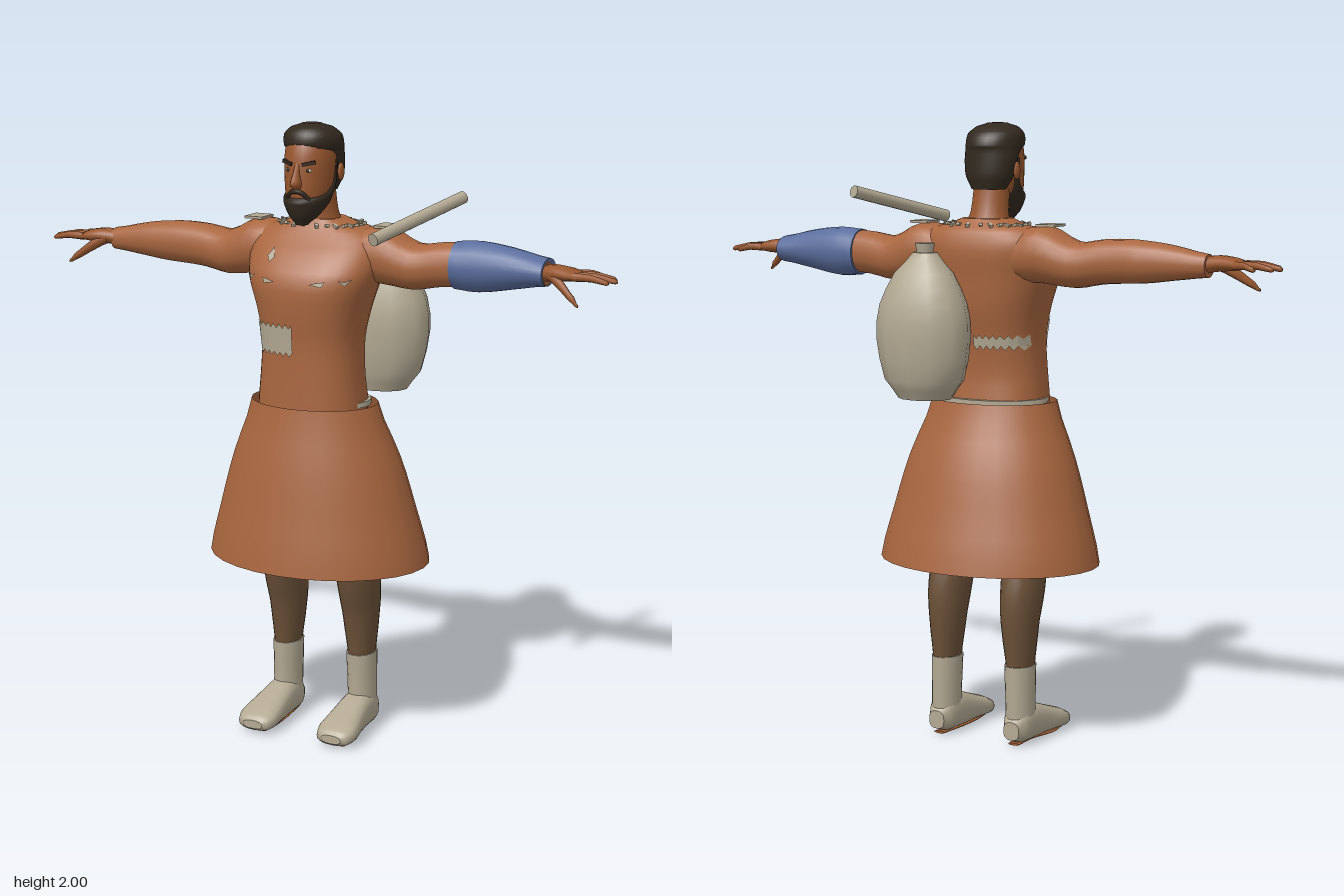
import * as THREE from 'three';

const mat = (name, color, double) => {
  const m = new THREE.MeshStandardMaterial({ color });
  m.name = name;
  if (double) m.side = THREE.DoubleSide;
  return m;
};

// Smooth lookup in a list of sections [position, centreU, centreV, radiusU, radiusV]
function sectionAt(rings, pos) {
  const up = rings[rings.length - 1][0] > rings[0][0] ? 1 : -1;
  let i = 0;
  while (i < rings.length - 2 && (pos - rings[i + 1][0]) * up > 0) i++;
  const p1 = rings[i], p2 = rings[i + 1];
  const p0 = rings[i - 1] || p1, p3 = rings[i + 2] || p2;
  const t = (pos - p1[0]) / (p2[0] - p1[0]);
  return p1.map((b, k) => {
    if (k === 0) return pos;
    const a = p0[k], c = p2[k], d = p3[k];
    return b + 0.5 * t * (c - a + t * (2 * a - 5 * b + 4 * c - d + t * (3 * (b - c) + d - a)));
  });
}

// Point on a rounded section; u,v are x,z along y, z,y along x and y,x along z
function ringPoint(s, angle, axis, n) {
  const c = Math.cos(angle), q = Math.sin(angle);
  const u = s[1] + s[3] * Math.sign(c) * Math.abs(c) ** (2 / n);
  const v = s[2] + s[4] * Math.sign(q) * Math.abs(q) ** (2 / n);
  if (axis === 'y') return [u, s[0], v];
  return axis === 'x' ? [s[0], v, u] : [v, u, s[0]];
}

// Skin a closed tube over sections running along an axis
function loft(rings, axis = 'y', { seg = 20, sub = 3, n = 2, open = false } = {}) {
  const rows = [];
  for (let i = 0; i < rings.length - 1; i++)
    for (let k = 0; k < sub; k++)
      rows.push(sectionAt(rings, rings[i][0] + (rings[i + 1][0] - rings[i][0]) * k / sub));
  rows.push(rings[rings.length - 1]);
  const flip = rows[rows.length - 1][0] < rows[0][0];
  const pos = [], idx = [];
  const tri = (a, b, c) => (flip ? idx.push(a, c, b) : idx.push(a, b, c));
  const addRing = s => {
    for (let j = 0; j < seg; j++) pos.push(...ringPoint(s, j / seg * Math.PI * 2, axis, n));
  };
  rows.forEach(addRing);
  for (let i = 0; i < rows.length - 1; i++)
    for (let j = 0; j < seg; j++) {
      const a = i * seg + j, b = i * seg + (j + 1) % seg;
      tri(a, a + seg, b);
      tri(b, a + seg, b + seg);
    }
  if (!open) [rows[0], rows[rows.length - 1]].forEach((s, end) => {
    const base = pos.length / 3;
    addRing(s);
    pos.push(...ringPoint([s[0], s[1], s[2], 0, 0], 0, axis, n));
    for (let j = 0; j < seg; j++) {
      const a = base + j, b = base + (j + 1) % seg;
      end ? tri(a, base + seg, b) : tri(a, b, base + seg);
    }
  });
  const g = new THREE.BufferGeometry();
  g.setAttribute('position', new THREE.Float32BufferAttribute(pos, 3));
  g.setIndex(idx);
  g.computeVertexNormals();
  return g;
}

export function createModel() {
  const tunic = mat('tunic brown', 0xa8663f, true);
  const skin = mat('skin', 0x98572f);
  const canvas = mat('canvas beige', 0xb3a993, true);
  const hairCol = mat('hair', 0x32291f);
  const hose = mat('hose brown', 0x6b5138);
  const blue = mat('bracer blue', 0x5a6d9c, true);
  const model = new THREE.Group();
  const add = (name, geo, material, parent = model) => {
    const m = new THREE.Mesh(geo, material);
    m.name = name;
    parent.add(m);
    return m;
  };
  const group = name => {
    const g = new THREE.Group();
    g.name = name;
    model.add(g);
    return g;
  };

  // Torso and flared skirt
  const TN = 2.4;
  const torso = [
    [1.1, 0, 0.04, 0.178, 0.143], [1.2, 0, 0.045, 0.168, 0.135], [1.32, 0, 0.04, 0.163, 0.14],
    [1.42, 0, 0.035, 0.182, 0.155], [1.52, 0, 0.03, 0.215, 0.158], [1.6, 0, 0, 0.225, 0.135],
    [1.66, 0, -0.02, 0.2, 0.1], [1.7, 0, -0.012, 0.08, 0.07]];
  add('tunicTorso', loft(torso, 'y', { seg: 32, n: TN }), tunic);
  add('skirt', loft([[0.59, 0, 0, 0.375, 0.29], [0.76, 0, 0.008, 0.333, 0.255],
    [0.93, 0, 0.017, 0.283, 0.217], [1.115, 0, 0.033, 0.213, 0.165]], 'y', { seg: 28, open: true }), tunic);
  add('waistCord', loft([[1.11, 0, 0.025, 0.187, 0.143], [1.126, 0, 0.025, 0.185, 0.143]], 'y', { seg: 32 }), canvas);

  // Torn cloth patches that hug the torso
  const patches = group('clothPatches');
  const patch = (pts, side = 1) => {
    const g = new THREE.ShapeGeometry(new THREE.Shape(pts.map(p => new THREE.Vector2(...p))));
    const p = g.attributes.position;
    for (let i = 0; i < p.count; i++) {
      const s = sectionAt(torso, p.getY(i));
      const depth = (1 - Math.min(1, Math.abs(p.getX(i) / s[3])) ** TN) ** (1 / TN);
      p.setZ(i, s[2] + side * (s[4] * depth + 0.006));
    }
    g.computeVertexNormals();
    add('clothPatch', g, canvas, patches);
  };
  for (let i = 0; i < 7; i++) {
    const x = -0.158 + i * 0.0226, e = x + 0.0226;
    patch([[x, 1.29], [x + 0.011, 1.278], [e, 1.292], [e, 1.385], [x + 0.012, 1.37], [x, 1.383]]);
    patch([[x, 1.3], [x + 0.011, 1.285], [e, 1.3], [e, 1.335], [x + 0.012, 1.322], [x, 1.335]], -1);
  }
  for (const s of [-1, 1]) {
    patch([[s * 0.06, 1.515], [s * 0.1, 1.508], [s * 0.11, 1.525], [s * 0.085, 1.522]]);
    patch([[s * 0.145, 1.53], [s * 0.165, 1.512], [s * 0.183, 1.533], [s * 0.165, 1.525]]);
  }
  patch([[-0.098, 1.57], [-0.083, 1.585], [-0.095, 1.615], [-0.112, 1.587]]);
  for (let i = 0; i < 26; i++) {
    const a = i / 26 * Math.PI * 2;
    const bead = add('collarScrap', new THREE.BoxGeometry(0.024, 0.009, 0.012), canvas, patches);
    bead.position.set(...ringPoint(sectionAt(torso, 1.681), a, 'y', TN));
    bead.rotation.set(0, 0.4 - a, i % 2 ? 0.3 : -0.3);
  }

  for (const s of [1, -1]) {
    const side = s > 0 ? 'left' : 'right';
    const mx = list => list.map(([x, ...r]) => [s * x, ...r]);

    // Arm and hand
    const arm = group(side + 'Arm');
    add('sleeve', loft(mx([[0.1, -0.02, 1.58, 0.09, 0.08], [0.22, -0.025, 1.592, 0.095, 0.092],
      [0.33, -0.025, 1.563, 0.082, 0.073], [0.42, -0.025, 1.575, 0.07, 0.07], [0.5, -0.025, 1.58, 0.066, 0.069],
      [0.56, -0.025, 1.58, 0.064, 0.066], [0.65, -0.02, 1.58, 0.054, 0.055],
      [0.77, -0.015, 1.575, 0.038, 0.036]]), 'x', { n: 2.2 }), tunic, arm);
    add('shoulderPatch', new THREE.BoxGeometry(0.065, 0.008, 0.078), canvas, arm).position.set(s * 0.23, 1.683, -0.02);
    if (s > 0) add('bracer', loft([[0.465, -0.028, 1.577, 0.073, 0.075], [0.54, -0.03, 1.577, 0.073, 0.08],
      [0.65, -0.025, 1.58, 0.067, 0.065], [0.768, -0.025, 1.578, 0.063, 0.043]], 'x'), blue, arm);
    add('palm', loft(mx([[0.74, -0.012, 1.575, 0.03, 0.026], [0.8, -0.003, 1.583, 0.042, 0.025],
      [0.85, 0, 1.582, 0.05, 0.02], [0.885, 0, 1.579, 0.047, 0.012]]), 'x', { seg: 14 }), skin, arm);
    const fingers = [[0.86, 0.94, -0.036, -0.066], [0.87, 0.985, -0.014, -0.032],
      [0.87, 1, 0.01, 0.004], [0.87, 0.985, 0.034, 0.04]];
    for (const [x0, x1, z0, z1] of fingers)
      add('finger', loft(mx([[x0, z0, 1.58, 0.013, 0.013], [(x0 + x1) / 2, (z0 + z1) / 2, 1.581, 0.012, 0.011],
        [x1 - 0.008, z1, 1.572, 0.009, 0.008], [x1, z1, 1.57, 0.003, 0.003]]), 'x', { seg: 8, sub: 2 }), skin, arm);
    add('thumb', loft(mx([[0.785, 0.015, 1.578, 0.018, 0.018], [0.84, 0.042, 1.548, 0.016, 0.018],
      [0.885, 0.065, 1.515, 0.011, 0.012], [0.902, 0.073, 1.5, 0.004, 0.004]]), 'x', { seg: 8 }), skin, arm);

    // Leg and boot
    const leg = group(side + 'Leg');
    add('hose', loft([[0.22, s * 0.138, -0.04, 0.04, 0.055], [0.4, s * 0.135, -0.038, 0.058, 0.077],
      [0.5, s * 0.135, -0.022, 0.066, 0.092], [0.6, s * 0.13, 0, 0.07, 0.09],
      [0.85, s * 0.11, 0.02, 0.085, 0.1], [1.1, s * 0.09, 0.03, 0.085, 0.1]]), hose, leg);
    add('bootShaft', loft([[0.04, s * 0.14, -0.04, 0.046, 0.06], [0.13, s * 0.139, -0.042, 0.046, 0.059],
      [0.262, s * 0.137, -0.04, 0.048, 0.063]]), canvas, leg);
    add('bootFoot', loft([[-0.108, 0.052, s * 0.14, 0.03, 0.028], [-0.07, 0.064, s * 0.14, 0.056, 0.046],
      [0, 0.066, s * 0.14, 0.06, 0.052], [0.08, 0.054, s * 0.142, 0.047, 0.06],
      [0.15, 0.042, s * 0.145, 0.035, 0.068], [0.188, 0.034, s * 0.145, 0.026, 0.058],
      [0.202, 0.032, s * 0.145, 0.014, 0.035]], 'z', { n: 2.6 }), canvas, leg);
    add('sole', loft([[-0.09, 0.005, s * 0.14, 0.004, 0.02], [0, 0.005, s * 0.135, 0.005, 0.026],
      [0.1, 0.005, s * 0.145, 0.005, 0.042], [0.17, 0.005, s * 0.145, 0.004, 0.035]], 'z'), skin, leg);
  }

  // Head, neck and hair
  const head = group('head');
  add('neck', loft([[1.64, 0, -0.012, 0.085, 0.075], [1.72, 0, 0, 0.062, 0.058], [1.82, 0, 0.02, 0.06, 0.058]]), skin, head);
  add('face', loft([[1.705, 0, 0.105, 0.02, 0.025], [1.73, 0, 0.09, 0.05, 0.055], [1.78, 0, 0.07, 0.07, 0.085],
    [1.84, 0, 0.055, 0.079, 0.1], [1.9, 0, 0.05, 0.082, 0.1], [1.95, 0, 0.045, 0.075, 0.088],
    [1.985, 0, 0.04, 0.04, 0.05]], 'y', { seg: 28 }), skin, head);
  add('hair', loft([[1.79, 0, -0.005, 0.058, 0.045], [1.83, 0, 0, 0.08, 0.06], [1.88, 0, 0.008, 0.088, 0.068],
    [1.915, 0, 0.022, 0.09, 0.082], [1.93, 0, 0.036, 0.093, 0.1], [1.965, 0, 0.043, 0.09, 0.092],
    [1.988, 0, 0.05, 0.066, 0.066], [2, 0, 0.052, 0.03, 0.03]], 'y', { seg: 28 }), hairCol, head);
  add('beard', loft([[1.69, 0, 0.118, 0.02, 0.02], [1.715, 0, 0.106, 0.045, 0.047], [1.75, 0, 0.09, 0.067, 0.074],
    [1.772, 0, 0.08, 0.074, 0.082], [1.79, 0, 0.062, 0.079, 0.055], [1.82, 0, 0.045, 0.082, 0.032],
    [1.89, 0, 0.045, 0.085, 0.026]], 'y', { seg: 28 }), hairCol, head);
  const lip = new THREE.CatmullRomCurve3([[-0.04, 1.77, 0.142], [-0.02, 1.793, 0.157], [0, 1.798, 0.163],
    [0.02, 1.793, 0.157], [0.04, 1.77, 0.142]].map(p => new THREE.Vector3(...p)));
  add('moustache', new THREE.TubeGeometry(lip, 16, 0.007, 6), hairCol, head);
  add('nose', loft([[1.802, 0, 0.152, 0.012, 0.014], [1.82, 0, 0.157, 0.018, 0.026], [1.85, 0, 0.152, 0.011, 0.018],
    [1.885, 0, 0.143, 0.009, 0.011]], 'y', { seg: 12 }), skin, head);
  for (const s of [1, -1]) {
    const brow = add('eyebrow', new THREE.BoxGeometry(0.042, 0.011, 0.012), hairCol, head);
    brow.position.set(s * 0.036, 1.884, 0.142);
    brow.rotation.set(0, s * 0.4, s * 0.2);
    const eye = add('eye', new THREE.SphereGeometry(0.012, 12, 8), canvas, head);
    eye.position.set(s * 0.034, 1.862, 0.141);
    eye.scale.set(1, 0.5, 0.4);
    const iris = add('iris', new THREE.SphereGeometry(0.006, 10, 8), hairCol, head);
    iris.position.set(s * 0.034, 1.862, 0.144);
    iris.scale.z = 0.5;
    const ear = add('ear', new THREE.SphereGeometry(0.026, 12, 8), skin, head);
    ear.position.set(s * 0.087, 1.85, 0.022);
    ear.scale.set(0.35, 1.1, 0.65);
  }

  // Sack on the back
  const sack = group('sack');
  add('sackBody', loft([[1.13, 0.14, -0.17, 0.09, 0.075], [1.19, 0.14, -0.175, 0.135, 0.103],
    [1.32, 0.142, -0.176, 0.162, 0.117], [1.43, 0.142, -0.176, 0.15, 0.11], [1.53, 0.14, -0.175, 0.1, 0.076],
    [1.595, 0.137, -0.173, 0.04, 0.035]], 'y', { seg: 12, sub: 2 }), canvas, sack);
  add('sackNeck', new THREE.CylinderGeometry(0.031, 0.026, 0.035, 12), canvas, sack).position.set(0.137, 1.607, -0.173);

  // Short staff floating above the left arm
  const a = new THREE.Vector3(0.32, 1.685, 0.27), b = new THREE.Vector3(0.45, 1.777, -0.1);
  const staff = add('staff', new THREE.CylinderGeometry(0.02, 0.02, a.distanceTo(b), 12), canvas);
  staff.position.copy(a).lerp(b, 0.5);
  staff.quaternion.setFromUnitVectors(new THREE.Vector3(0, 1, 0), b.clone().sub(a).normalize());
  return model;
}
